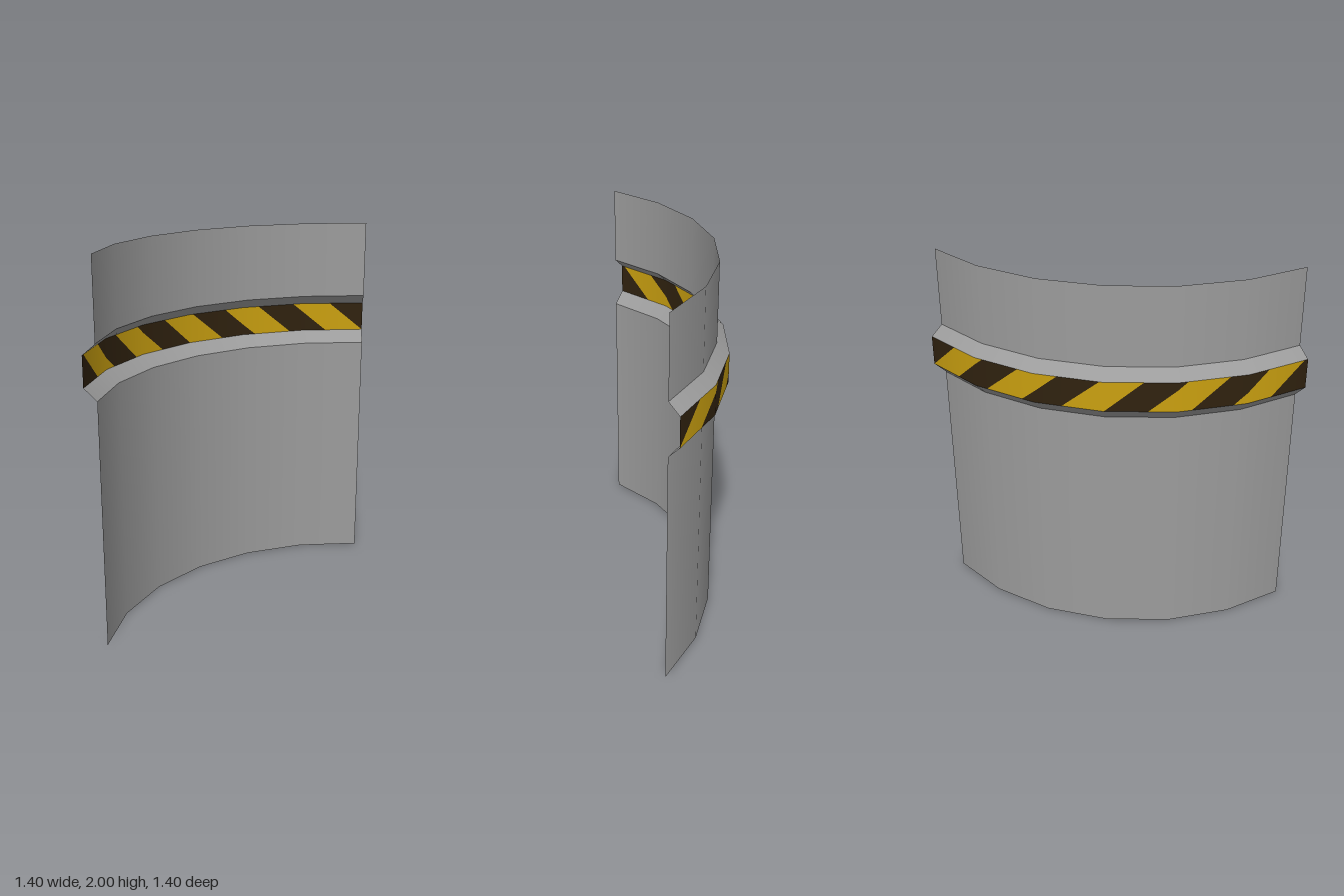
import * as THREE from 'three';

const SEGMENTS = 6;          // facets in the quarter circle
const CENTRE = 0.7;          // axis of the arc, in x and z
const WALL_R = 1.336, BELT_R = 1.4;
const Y = { base: 0, lowBevel: 1.3, beltBottom: 1.365, beltTop: 1.525, highBevel: 1.58, top: 2 };

// Keep the part of a polygon of [u, v] points where sign * (u - limit) >= 0
function clip(poly, limit, sign) {
  const out = [];
  poly.forEach((p, i) => {
    const q = poly[(i + 1) % poly.length];
    const dp = sign * (p[0] - limit), dq = sign * (q[0] - limit);
    if (dp >= 0) out.push(p);
    if (dp * dq < 0) {
      const t = dp / (dp - dq);
      out.push([limit, p[1] + (q[1] - p[1]) * t]);
    }
  });
  return out;
}

// Slanted stripes lying on the belt facets; parity picks every other stripe
function stripes(parity) {
  const width = 0.6, slant = 0.54;
  const position = [], normal = [], index = [];
  const corner = (i) => {
    const a = (i / SEGMENTS) * Math.PI / 2;
    return new THREE.Vector3(-Math.cos(a), 0, -Math.sin(a));
  };
  for (let k = parity; k <= 10; k += 2) {
    const u0 = k * width, u1 = u0 + width;
    for (let i = 0; i < SEGMENTS; i++) {
      let poly = [[u0, 0], [u1, 0], [u1 - slant, 1], [u0 - slant, 1]];
      poly = clip(clip(poly, i, 1), i + 1, -1);
      if (poly.length < 3) continue;
      const first = position.length / 3;
      for (const [u, v] of poly) {
        const n = corner(i).lerp(corner(i + 1), u - i);
        position.push(CENTRE + n.x * BELT_R, THREE.MathUtils.lerp(Y.beltBottom, Y.beltTop, v), CENTRE + n.z * BELT_R);
        n.normalize();
        normal.push(n.x, n.y, n.z);
      }
      for (let j = 1; j < poly.length - 1; j++) index.push(first, first + j + 1, first + j);
    }
  }
  const g = new THREE.BufferGeometry();
  g.setAttribute('position', new THREE.Float32BufferAttribute(position, 3));
  g.setAttribute('normal', new THREE.Float32BufferAttribute(normal, 3));
  g.setIndex(index);
  return g;
}

export function createModel() {
  const group = new THREE.Group();
  group.name = 'curvedWall';
  const material = (name, color) => {
    const m = new THREE.MeshStandardMaterial({ color, side: THREE.DoubleSide });
    m.name = name;
    return m;
  };
  const grey = material('wallGrey', 0x9c9c9c);
  const yellow = material('hazardYellow', 0xcaa010);
  const dark = material('hazardDark', 0x30220f);

  const add = (name, geometry, mat) => {
    const mesh = new THREE.Mesh(geometry, mat);
    mesh.name = name;
    group.add(mesh);
  };

  // Quarter-round sheet between two radii and heights
  const sheet = (name, r0, y0, r1, y1) => {
    const profile = [new THREE.Vector2(r0, y0), new THREE.Vector2(r1, y1)];
    const g = new THREE.LatheGeometry(profile, SEGMENTS, Math.PI, Math.PI / 2);
    g.translate(CENTRE, 0, CENTRE);
    add(name, g, grey);
  };
  sheet('lowerWall', WALL_R, Y.base, WALL_R, Y.lowBevel);
  sheet('lowerBevel', WALL_R, Y.lowBevel, BELT_R, Y.beltBottom);
  sheet('upperBevel', BELT_R, Y.beltTop, WALL_R, Y.highBevel);
  sheet('upperWall', WALL_R, Y.highBevel, WALL_R, Y.top);

  // Hazard belt
  add('darkStripes', stripes(0), dark);
  add('yellowStripes', stripes(1), yellow);
  return group;
}
